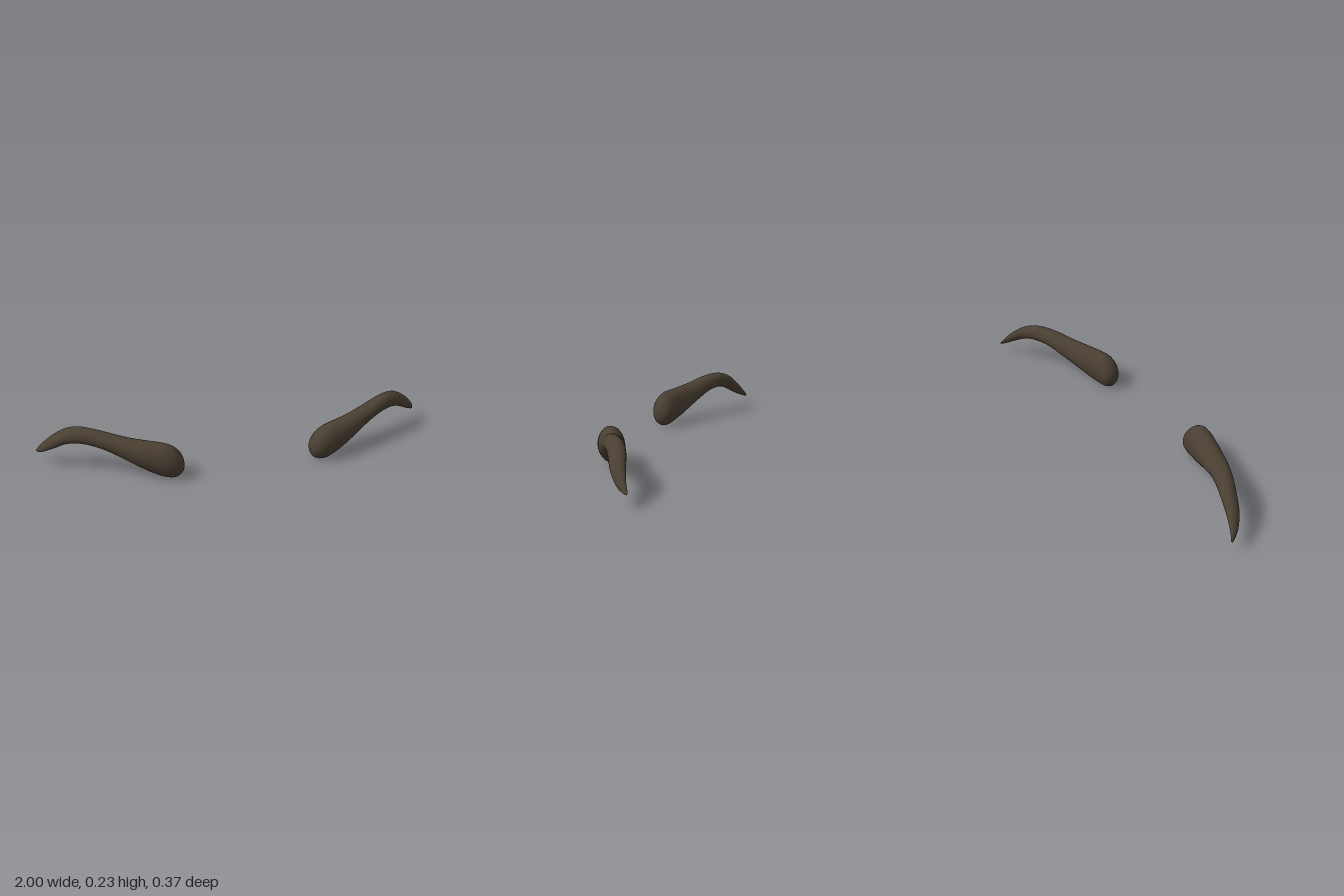
import * as THREE from 'three';

// Cross-sections from inner to outer end: x, bottom y, top y, back z, front z
const SECTIONS = [
  [0.315, 0.065, 0.065, 0.122, 0.122],
  [0.320, 0.036, 0.098, 0.096, 0.150],
  [0.338, 0.012, 0.132, 0.076, 0.171],
  [0.370, 0.001, 0.163, 0.064, 0.182],
  [0.415, 0.006, 0.180, 0.051, 0.178],
  [0.480, 0.030, 0.186, 0.027, 0.155],
  [0.550, 0.065, 0.192, 0.000, 0.122],
  [0.620, 0.100, 0.203, -0.028, 0.083],
  [0.700, 0.133, 0.220, -0.060, 0.040],
  [0.780, 0.146, 0.228, -0.097, -0.005],
  [0.850, 0.136, 0.212, -0.127, -0.045],
  [0.920, 0.101, 0.165, -0.151, -0.083],
  [0.970, 0.073, 0.112, -0.172, -0.127],
  [0.992, 0.062, 0.077, -0.186, -0.164],
  [1.000, 0.062, 0.062, -0.183, -0.183],
];

// Smooth tapered body with elliptical sections; side is +1 (left) or -1 (right)
function browGeometry(side, rows = 64, sides = 28) {
  const spline = (f) => new THREE.CatmullRomCurve3(SECTIONS.map(f), false, 'catmullrom', 0.5);
  const centre = spline(([x, b, t, k, f]) => new THREE.Vector3(x, (b + t) / 2, (k + f) / 2));
  const radius = spline(([, b, t, k, f]) => new THREE.Vector3(0, (t - b) / 2, (f - k) / 2));
  const pos = [], index = [];
  for (let i = 0; i <= rows; i++) {
    const c = centre.getPoint(i / rows), r = radius.getPoint(i / rows);
    for (let j = 0; j < sides; j++) {
      const a = (j / sides) * Math.PI * 2;
      pos.push(side * c.x, c.y + r.y * Math.cos(a), c.z + r.z * Math.sin(a));
      if (i === rows) continue;
      const p = i * sides + j, q = i * sides + ((j + 1) % sides);
      const u = p + sides, v = q + sides;
      if (side > 0) index.push(p, u, q, q, u, v);
      else index.push(p, q, u, q, v, u);
    }
  }
  // Orientation: sections run from +y towards +z, so the x axis points along the sweep
  for (let k = 0; k < index.length; k += 3) [index[k + 1], index[k + 2]] = [index[k + 2], index[k + 1]];
  const g = new THREE.BufferGeometry();
  g.setAttribute('position', new THREE.Float32BufferAttribute(pos, 3));
  g.setIndex(index);
  g.computeVertexNormals();
  return g;
}

export function createModel() {
  const group = new THREE.Group();
  group.name = 'eyebrows';
  const hair = new THREE.MeshStandardMaterial({ color: 0x4a3f32 });
  for (const [name, side] of [['leftEyebrow', 1], ['rightEyebrow', -1]]) {
    const brow = new THREE.Mesh(browGeometry(side), hair);
    brow.name = name;
    group.add(brow);
  }
  return group;
}
